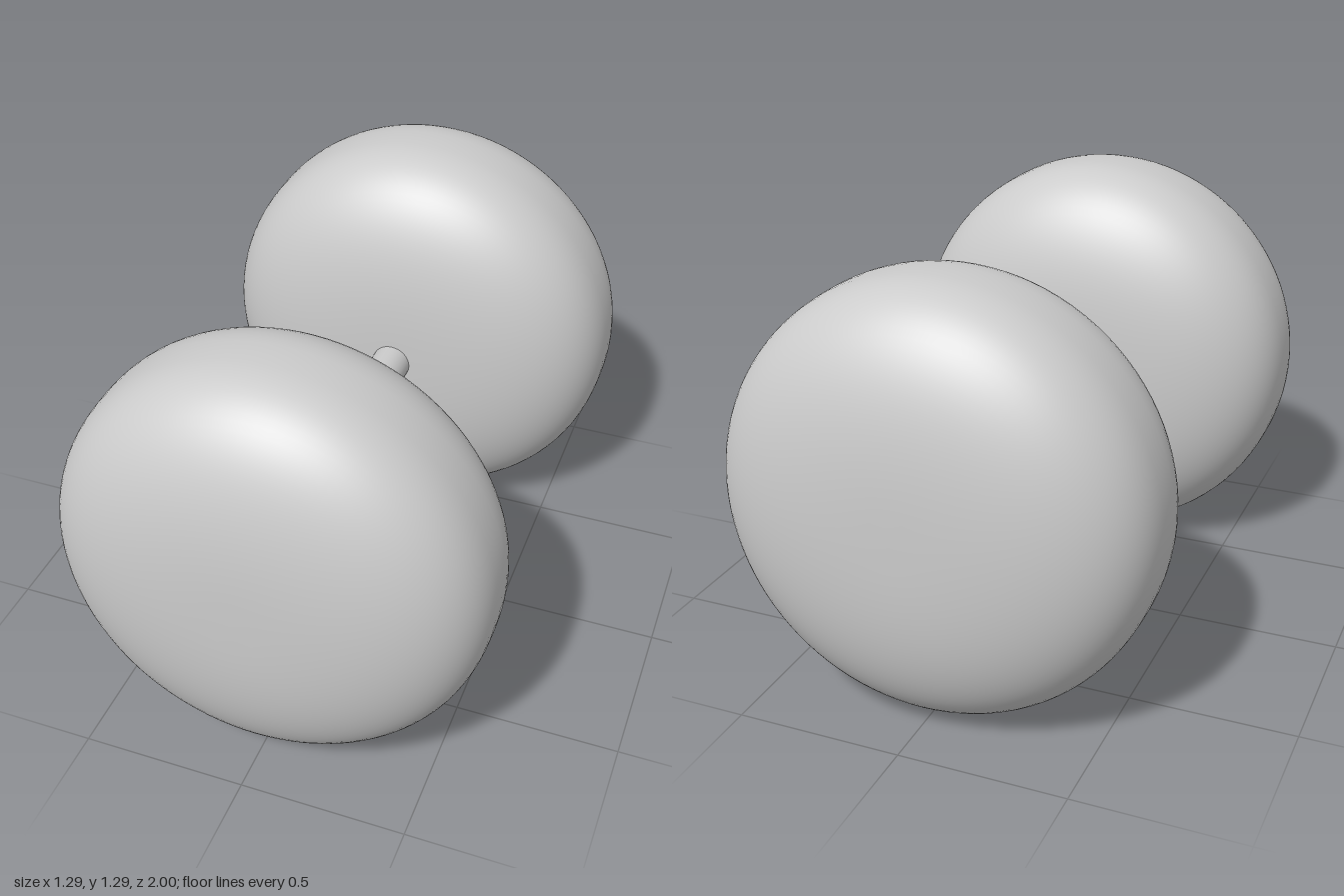
import * as THREE from 'three';

const material = new THREE.MeshStandardMaterial({ color: 0xcccccc });
const RADIUS = 0.645, HALF_WIDTH = 0.355, ROUNDNESS = 2.65;

// Rounded cross-section of a weight, from one face centre over the rim to the other
function weightProfile(steps = 48) {
  const points = [];
  for (let i = 0; i <= steps; i++) {
    const t = -Math.PI / 2 + (Math.PI * i) / steps;
    const c = Math.max(0, Math.cos(t)), s = Math.sin(t);
    points.push(new THREE.Vector2(
      i === 0 || i === steps ? 0 : RADIUS * c ** (2 / ROUNDNESS),
      HALF_WIDTH * Math.sign(s) * Math.abs(s) ** (2 / ROUNDNESS)
    ));
  }
  return points;
}

export function createModel() {
  const model = new THREE.Group();
  model.name = 'dumbbell';

  // Two cushion-shaped weights
  const weightGeometry = new THREE.LatheGeometry(weightProfile(), 96).rotateX(Math.PI / 2);
  for (const [name, side] of [['frontWeight', 1], ['backWeight', -1]]) {
    const weight = new THREE.Mesh(weightGeometry, material);
    weight.name = name;
    weight.position.set(0, RADIUS, side * (1 - HALF_WIDTH));
    model.add(weight);
  }

  // Handle bar joining the weights
  const handle = new THREE.Mesh(
    new THREE.CylinderGeometry(0.062, 0.062, 0.64, 32).rotateX(Math.PI / 2), material);
  handle.name = 'handle';
  handle.position.y = 0.647;
  model.add(handle);

  return model;
}
